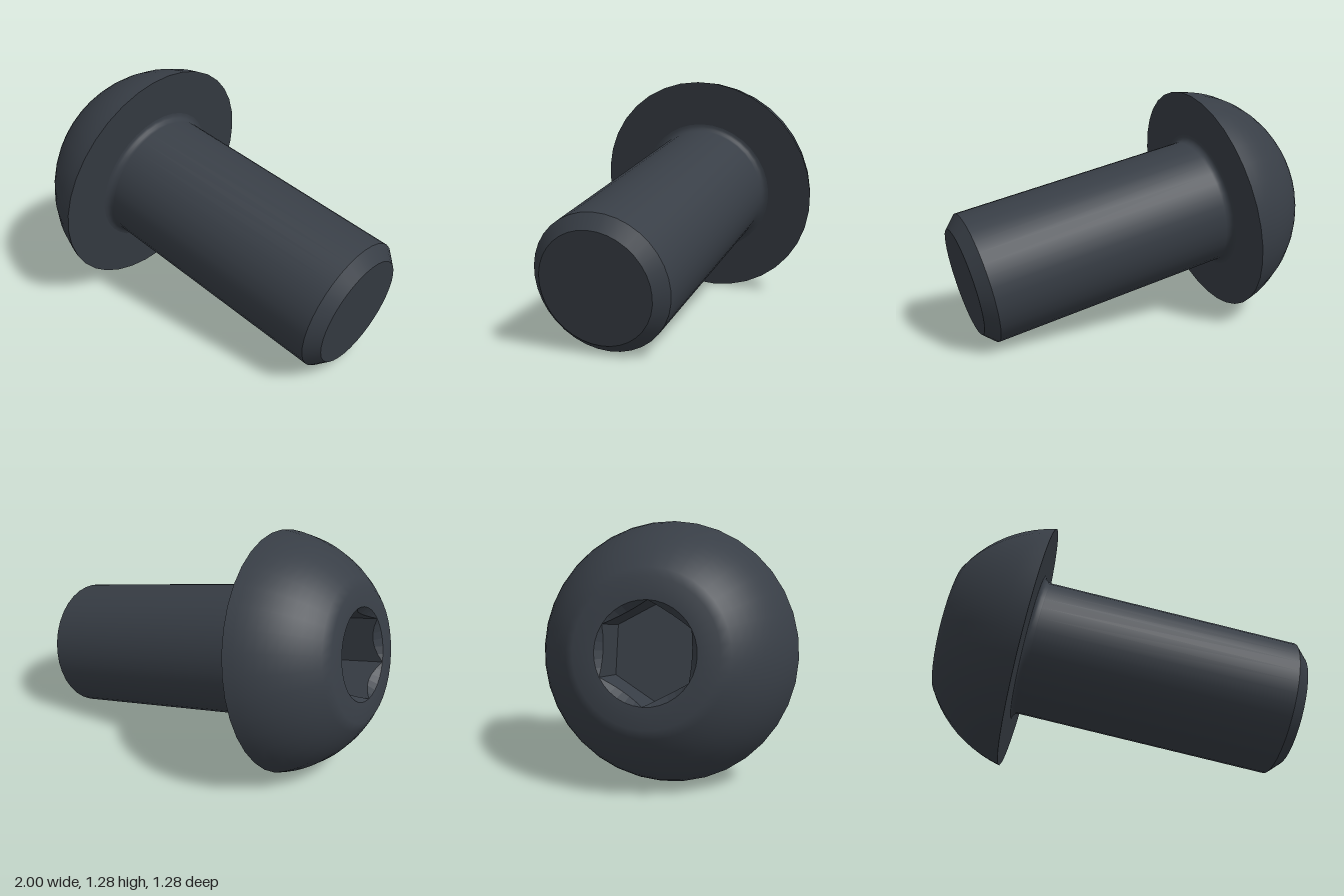
import * as THREE from 'three';

const SEG = 36;
const HEAD_TOP = 0.43, HEAD_R = 0.654, FLAT_R = 0.352;
const RIM_R = 0.245, SOCKET_FLOOR = 0.18;
const SHANK_R = 0.363, TIP_R = 0.298, TIP_Y = -1.459, CHAMFER_Y = -1.394;

// Hexagon radius at an angle, with a corner at angle zero
function hexRadius(angle) {
  const sector = Math.PI / 3;
  const a = ((angle % sector) + sector) % sector - sector / 2;
  return RIM_R * Math.cos(sector / 2) / Math.cos(a);
}

function lathe(points) {
  return new THREE.LatheGeometry(points.map(([r, y]) => new THREE.Vector2(r, y)), SEG);
}

// Lathe whose vertices are moved by rule(radius, y, hex) => [radius, y], then faceted
function facetedLathe(points, rule) {
  const geo = lathe(points);
  const p = geo.attributes.position;
  for (let i = 0; i < p.count; i++) {
    const angle = Math.atan2(p.getX(i), p.getZ(i));
    const r = Math.hypot(p.getX(i), p.getZ(i));
    const snapped = r < 1e-6 ? 0 : angle;
    const [nr, ny] = rule(r, p.getY(i), hexRadius(snapped));
    p.setXYZ(i, nr * Math.sin(snapped), ny, nr * Math.cos(snapped));
  }
  const flat = geo.toNonIndexed();
  flat.computeVertexNormals();
  return flat;
}

export function createModel() {
  const model = new THREE.Group();
  model.name = 'buttonHeadScrew';
  const steel = new THREE.MeshStandardMaterial({ color: 0x383e46 });
  steel.name = 'blackSteel';

  const screw = new THREE.Group();
  screw.name = 'screw';
  model.add(screw);
  const add = (name, geometry) => {
    const mesh = new THREE.Mesh(geometry, steel);
    mesh.name = name;
    screw.add(mesh);
  };

  // Shank end, chamfer and body
  add('tipFace', lathe([[0, TIP_Y], [TIP_R, TIP_Y]]));
  add('tipChamfer', lathe([[TIP_R, TIP_Y], [SHANK_R, CHAMFER_Y]]));
  const shank = [[SHANK_R, CHAMFER_Y], [SHANK_R, -0.04]];
  for (let i = 0; i <= 4; i++) {
    const a = (i / 4) * Math.PI / 2;
    shank.push([SHANK_R + 0.035 * (1 - Math.cos(a)), -0.035 + 0.035 * Math.sin(a)]);
  }
  add('shank', lathe(shank));
  add('headUnderside', lathe([[SHANK_R + 0.035, 0], [HEAD_R, 0]]));

  // Domed head: a spherical arc that ends in a flat ring around the socket
  const centreY = (HEAD_TOP ** 2 + FLAT_R ** 2 - HEAD_R ** 2) / (2 * HEAD_TOP);
  const radius = Math.hypot(HEAD_R, centreY);
  const a0 = Math.atan2(-centreY, HEAD_R), a1 = Math.atan2(HEAD_TOP - centreY, FLAT_R);
  const dome = [];
  for (let i = 0; i <= 10; i++) {
    const a = a0 + (a1 - a0) * i / 10;
    dome.push([radius * Math.cos(a), centreY + radius * Math.sin(a)]);
  }
  dome.push([RIM_R, HEAD_TOP]);
  add('headDome', lathe(dome));

  // Hexagonal socket with a conical lead-in
  const leadInY = (hex) => HEAD_TOP - 1.2 * (RIM_R - hex);
  add('socketLeadIn', facetedLathe([[RIM_R, HEAD_TOP], [0.2, 0.4]],
    (r, y, hex) => (y > 0.42 ? [r, y] : [hex, leadInY(hex)])));
  add('socketWalls', facetedLathe([[0.2, 0.4], [0.2, SOCKET_FLOOR]],
    (r, y, hex) => [hex, y > 0.3 ? leadInY(hex) : y]));
  add('socketFloor', facetedLathe([[0.2, SOCKET_FLOOR], [0, SOCKET_FLOOR]],
    (r, y, hex) => [r > 0.1 ? hex : 0, y]));

  // Lay the screw along its slanted axis, one socket corner pointing down
  const up = new THREE.Vector3(-1, 0.214, -0.214).normalize();
  const down = new THREE.Vector3(0, -1, 0);
  down.addScaledVector(up, -down.dot(up)).normalize();
  const side = new THREE.Vector3().crossVectors(up, down);
  screw.quaternion.setFromRotationMatrix(new THREE.Matrix4().makeBasis(side, up, down));
  screw.position.set(-0.482, 0.641, 0);
  return model;
}
